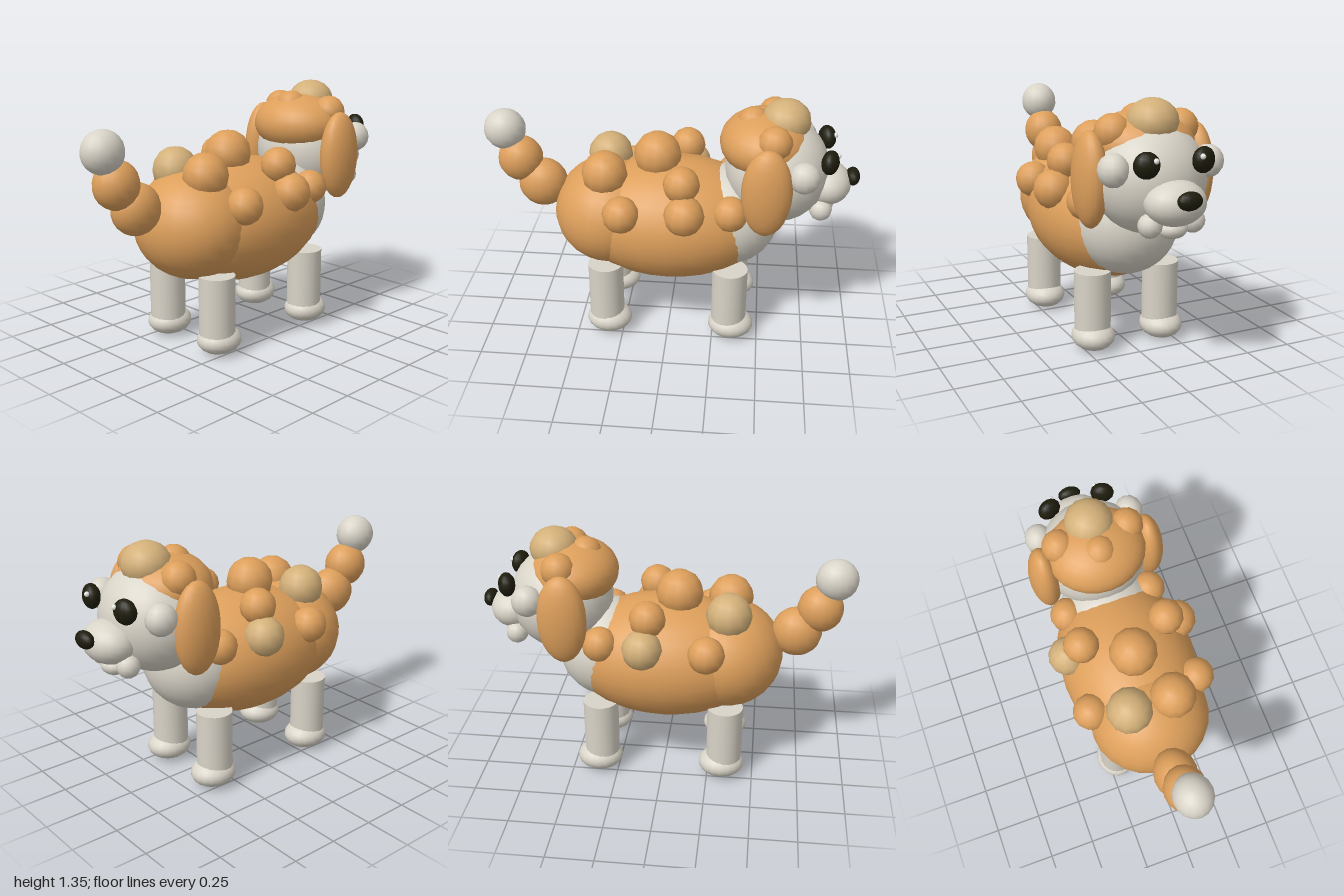
import * as THREE from 'three';

export function createModel() {
  const model = new THREE.Group();
  model.name = 'fluffyDog';
  const mat = (name, color) => {
    const m = new THREE.MeshStandardMaterial({ color });
    m.name = name;
    return m;
  };
  const orange = mat('orange fur', 0xdd9f5b);
  const tan = mat('tan fur', 0xd3b079);
  const white = mat('white fur', 0xd9d4c8);
  const black = mat('black', 0x1e1c0c);
  const shine = mat('eye shine', 0xf4f4f0);

  // ellipsoid: position [x,y,z], radii [x,y,z]
  const blob = (name, material, pos, r, seg = 20) => {
    const mesh = new THREE.Mesh(new THREE.SphereGeometry(1, seg, Math.round(seg * 0.7)), material);
    mesh.name = name;
    mesh.position.set(...pos);
    mesh.scale.set(...r);
    model.add(mesh);
    return mesh;
  };
  const puff = (name, material, pos, r) => blob(name, material, pos, [r, r, r], 12);

  // torso
  blob('body', orange, [0, 0.645, 0], [0.37, 0.335, 0.55], 24);
  blob('rump', orange, [0, 0.67, 0.33], [0.322, 0.29, 0.305], 24);
  blob('chest', white, [0, 0.67, -0.32], [0.28, 0.275, 0.272], 24);

  // tail
  blob('tailBase', orange, [0, 0.815, 0.70], [0.115, 0.135, 0.135], 16);
  blob('tailMiddle', orange, [0, 0.955, 0.815], [0.112, 0.125, 0.122], 16);
  blob('tailTip', white, [0, 1.125, 0.888], [0.102, 0.11, 0.112], 16);

  // fur puffs along the back
  puff('backPuff', orange, [0, 1.01, 0.07], 0.127);
  puff('rumpPuffRight', tan, [-0.118, 0.945, 0.34], 0.122);
  puff('rumpPuffLeft', orange, [0.118, 0.945, 0.34], 0.122);

  // head
  blob('head', white, [0, 0.96, -0.565], [0.29, 0.28, 0.275], 24);
  blob('headCap', orange, [0, 1.115, -0.495], [0.265, 0.167, 0.238], 24);
  blob('topknot', tan, [0, 1.235, -0.595], [0.13, 0.115, 0.13], 14);
  puff('crownPuff', orange, [0, 1.212, -0.43], 0.09);

  // muzzle
  blob('muzzle', white, [0, 0.89, -0.83], [0.155, 0.11, 0.128]);
  blob('nose', black, [0, 0.93, -0.963], [0.064, 0.045, 0.038], 14);
  blob('chin', white, [0, 0.76, -0.81], [0.075, 0.048, 0.065], 14);

  for (const s of [1, -1]) {
    const side = s > 0 ? 'Left' : 'Right';

    // side puffs
    puff('hipPuff' + side, orange, [s * 0.295, 0.8, 0.235], 0.098);
    puff('flankPuff' + side, s > 0 ? orange : tan, [s * 0.31, 0.82, -0.095], 0.106);
    puff('shoulderPuff' + side, orange, [s * 0.235, 0.96, -0.075], 0.096);
    puff('neckPuff' + side, orange, [s * 0.235, 0.8, -0.33], 0.094);

    // head sides
    puff('browPuff' + side, orange, [s * 0.185, 1.19, -0.54], 0.09);
    blob('ear' + side, orange, [s * 0.29, 0.96, -0.51], [0.083, 0.242, 0.13]);
    blob('cheek' + side, white, [s * 0.255, 1.04, -0.695], [0.076, 0.082, 0.082], 12);
    blob('jowl' + side, white, [s * 0.115, 0.785, -0.8], [0.06, 0.06, 0.06], 12);

    // eyes
    const eye = blob('eye' + side, black, [s * 0.15, 1.08, -0.825], [0.064, 0.064, 0.045], 14);
    eye.rotation.y = -s * 0.3;
    puff('eyeShine' + side, shine, [s * 0.122, 1.105, -0.865], 0.014);

    // legs and feet
    for (const [end, legZ, footZ] of [['hind', 0.34, 0.327], ['front', -0.34, -0.352]]) {
      const leg = new THREE.Mesh(new THREE.CylinderGeometry(0.096, 0.096, 0.345, 20), white);
      leg.name = end + 'Leg' + side;
      leg.position.set(s * 0.198, 0.262, legZ);
      model.add(leg);
      blob(end + 'Foot' + side, white, [s * 0.2, 0.08, footZ], [0.113, 0.075, 0.125], 18);
    }
  }
  return model;
}
